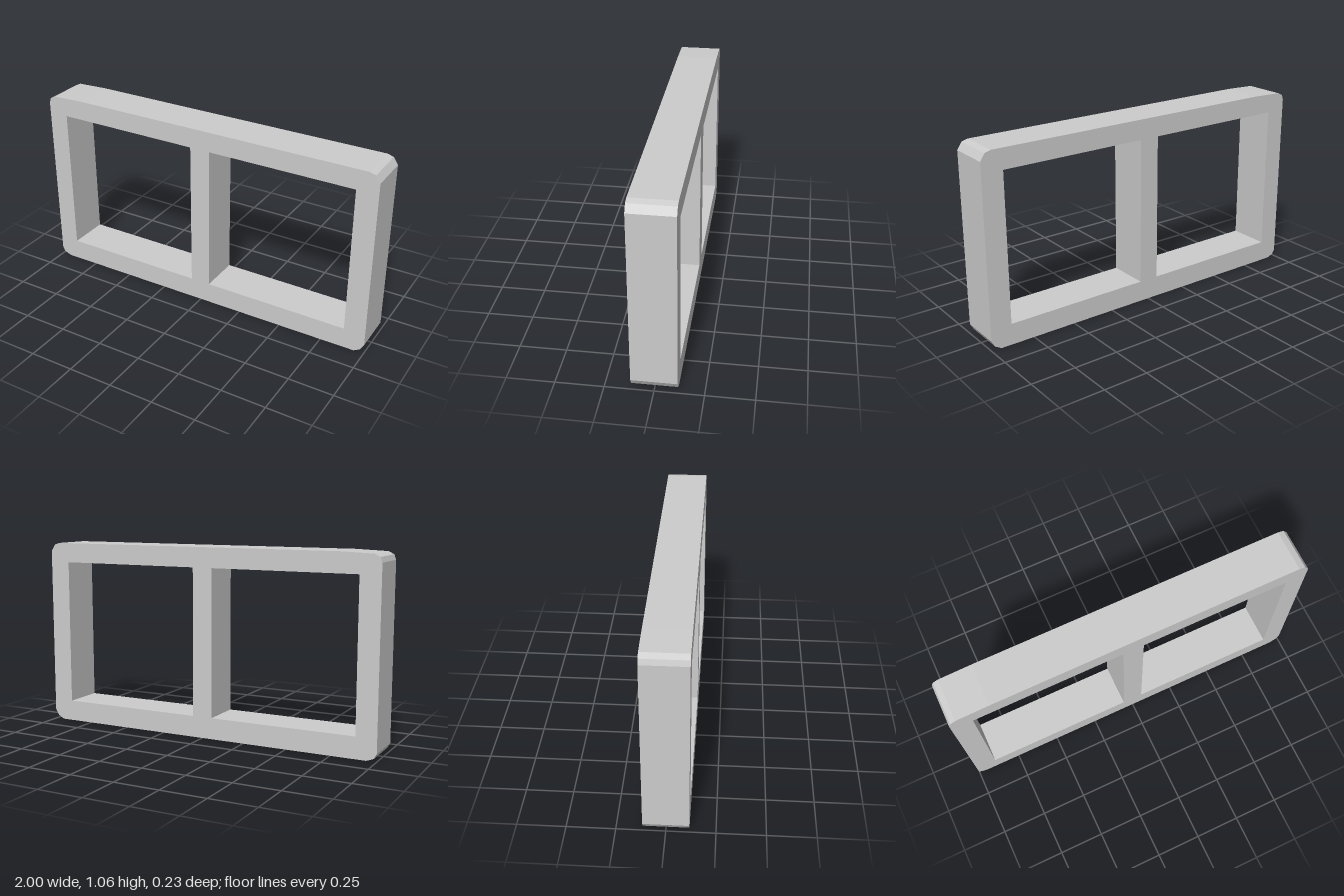
import * as THREE from 'three';

const DEPTH = 0.234;

// Square opening, its lower left corner at (x, y)
function opening(x, y, size) {
  return new THREE.Path([
    new THREE.Vector2(x, y),
    new THREE.Vector2(x, y + size),
    new THREE.Vector2(x + size, y + size),
    new THREE.Vector2(x + size, y),
  ]);
}

export function createModel() {
  const group = new THREE.Group();
  group.name = 'doubleFrame';
  const grey = new THREE.MeshStandardMaterial({ color: 0xcccccc });
  grey.name = 'light grey';

  // Outline with coarsely rounded corners, counterclockwise
  const outline = new THREE.Shape([
    [-0.945, 0.003], [0.945, 0.005], [0.98, 0.025], [1, 0.06],
    [1, 1.012], [0.975, 1.05], [0.94, 1.06],
    [-0.78, 1.06], [-0.96, 1.053], [-0.99, 1.038], [-1, 1.01],
    [-1, 0.045], [-0.985, 0.018],
  ].map(([x, y]) => new THREE.Vector2(x, Math.max(y - 0.003, 0))));

  // Two square openings either side of the middle bar
  for (const x of [-0.885, 0.055]) outline.holes.push(opening(x, 0.12, 0.826));

  const geometry = new THREE.ExtrudeGeometry(outline, { depth: DEPTH, bevelEnabled: false });
  geometry.translate(0, 0, -DEPTH / 2);
  const frame = new THREE.Mesh(geometry, grey);
  frame.name = 'frame';
  group.add(frame);
  return group;
}
